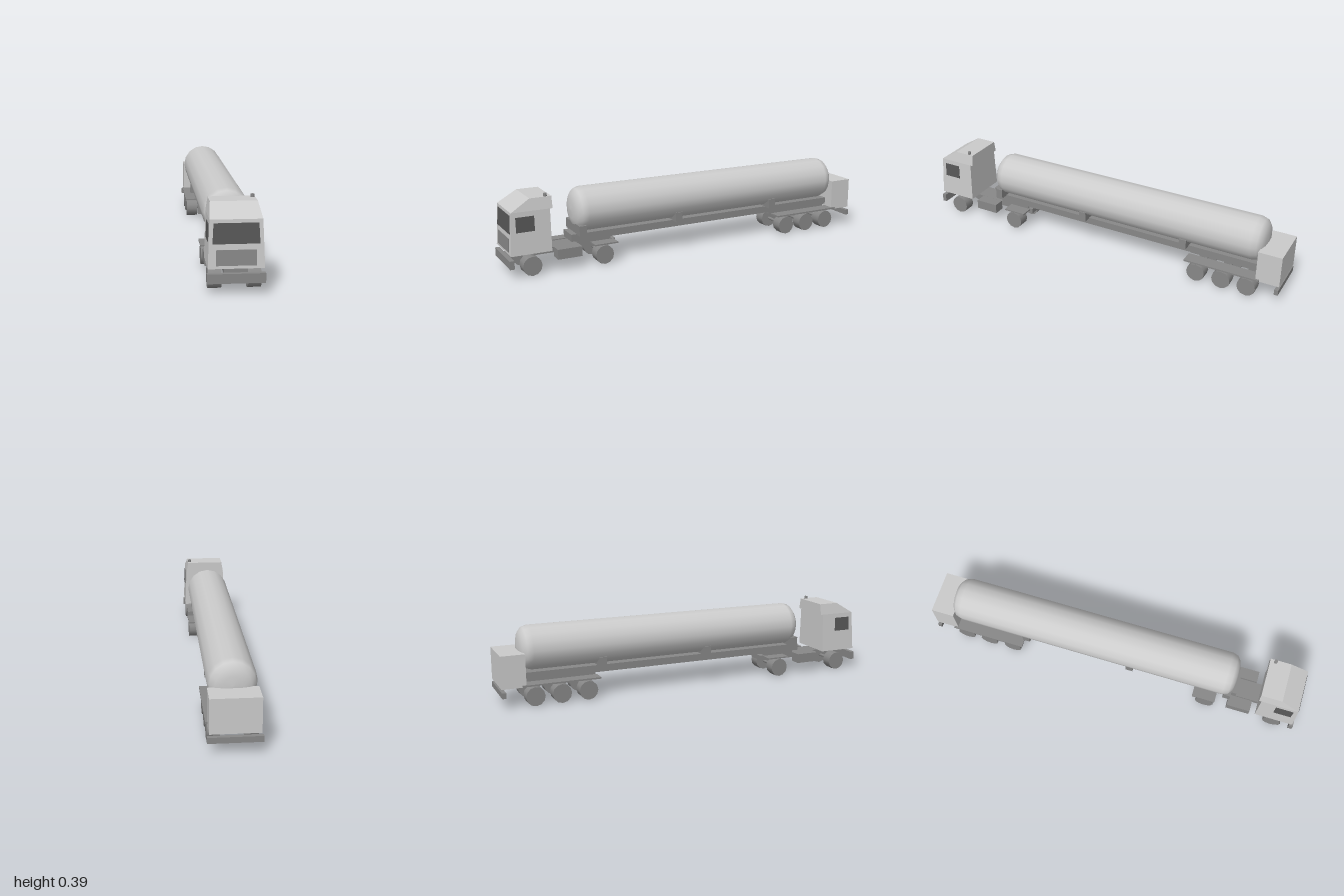
import * as THREE from 'three';

const paint = new THREE.MeshStandardMaterial({ color: 0xcccccc });
const metal = new THREE.MeshStandardMaterial({ color: 0x888888 });
const glass = new THREE.MeshStandardMaterial({ color: 0x585858 });

export function createModel() {
  const truck = new THREE.Group();
  truck.name = 'tankerTruck';

  const add = (name, geometry, material) => {
    const mesh = new THREE.Mesh(geometry, material);
    mesh.name = name;
    truck.add(mesh);
    return mesh;
  };
  // Box given by its limits on each axis
  const box = (name, [x0, x1], [y0, y1], [z0, z1], material = metal) => {
    const mesh = add(name, new THREE.BoxGeometry(x1 - x0, y1 - y0, z1 - z0), material);
    mesh.position.set((x0 + x1) / 2, (y0 + y1) / 2, (z0 + z1) / 2);
    return mesh;
  };
  // The same box on both sides
  const pair = (name, [x0, x1], y, z, material) => {
    box(name + 'Left', [x0, x1], y, z, material);
    box(name + 'Right', [-x1, -x0], y, z, material);
  };
  // Side profile of (z, y) points whose half width runs from w0 at y0 to w1 at y1
  const taperedBody = (name, points, y0, w0, y1, w1) => {
    const shape = new THREE.Shape(points.map(([z, y]) => new THREE.Vector2(z, y)));
    const g = new THREE.ExtrudeGeometry(shape, { depth: 1, bevelEnabled: false });
    g.translate(0, 0, -0.5).rotateY(-Math.PI / 2);
    const p = g.attributes.position;
    for (let i = 0; i < p.count; i++) {
      const w = THREE.MathUtils.mapLinear(p.getY(i), y0, y1, w0, w1);
      p.setX(i, Math.sign(p.getX(i)) * w);
    }
    g.computeVertexNormals();
    add(name, g, paint);
  };

  // Cab: upright body and narrowing roof that overhangs a little at the back
  taperedBody('cabBody', [[0.79, 0.112], [0.992, 0.112], [0.98, 0.32], [0.79, 0.32]],
    0.112, 0.12, 0.32, 0.112);
  taperedBody('cabRoof', [[0.777, 0.32], [0.98, 0.32], [0.885, 0.378], [0.777, 0.378]],
    0.32, 0.112, 0.378, 0.102);

  // Windscreen and grille lie on the leaning cab front
  const frontPanel = (name, y0, w0, y1, w1, material) => {
    const shape = new THREE.Shape([
      new THREE.Vector2(-w0, y0), new THREE.Vector2(w0, y0),
      new THREE.Vector2(w1, y1), new THREE.Vector2(-w1, y1),
    ]);
    const g = new THREE.ExtrudeGeometry(shape, { depth: 0.006, bevelEnabled: false });
    g.translate(0, -0.112, -0.003).rotateX(-Math.atan2(0.012, 0.208)).translate(0, 0.112, 0.992);
    add(name, g, material);
  };
  frontPanel('windscreen', 0.217, 0.1, 0.305, 0.095, glass);
  frontPanel('grille', 0.125, 0.085, 0.192, 0.085, metal);

  // Side windows follow the lean of the doors
  for (const s of [1, -1]) {
    const win = box(s > 0 ? 'sideWindowLeft' : 'sideWindowRight',
      [-0.003, 0.003], [0.223, 0.296], [0.87, 0.96], glass);
    win.position.x = s * 0.1145;
    win.rotation.z = s * Math.atan2(0.008, 0.208);
  }

  // Exhaust stack
  const stack = add('exhaustStack', new THREE.CylinderGeometry(0.009, 0.009, 0.06, 12), metal);
  stack.position.set(0.091, 0.362, 0.805);

  // Tractor chassis
  box('frontBumper', [-0.124, 0.124], [0.05, 0.092], [0.978, 1]);
  box('tractorFrame', [-0.05, 0.05], [0.08, 0.107], [0.435, 0.975]);
  box('cabMount', [-0.05, 0.05], [0.105, 0.114], [0.8, 0.97]);
  pair('fuelTank', [0.055, 0.114], [0.06, 0.11], [0.635, 0.76]);
  pair('tractorFender', [0.055, 0.119], [0.1, 0.107], [0.447, 0.57]);
  box('couplingPlate', [-0.05, 0.05], [0.107, 0.121], [0.46, 0.635]);

  // Trailer chassis
  box('trailerFrame', [-0.055, 0.055], [0.12, 0.156], [-0.885, 0.668]);
  pair('trailerFender', [0.055, 0.123], [0.103, 0.111], [-0.9, -0.508]);
  box('axleCarrier', [-0.03, 0.03], [0.1, 0.121], [-0.9, -0.508]);
  for (const z of [0.62, 0.09, -0.485]) {
    box('tankSaddle', [-0.095, 0.095], [0.153, 0.204], [z - 0.019, z + 0.019]);
  }
  box('rearCabinet', [-0.113, 0.113], [0.1, 0.263], [-1, -0.88], paint);
  box('rearBumper', [-0.122, 0.122], [0.057, 0.085], [-1, -0.98]);

  // Tank with domed ends
  const profile = [
    [0, -0.895], [0.045, -0.893], [0.08, -0.884], [0.103, -0.865], [0.112, -0.835],
    [0.112, 0.59], [0.103, 0.62], [0.08, 0.638], [0.045, 0.647], [0, 0.649],
  ].map(([r, z]) => new THREE.Vector2(r, z));
  const tank = add('tank', new THREE.LatheGeometry(profile, 16).rotateX(Math.PI / 2), paint);
  tank.position.y = 0.27;

  // Axles and wheels
  const crossCylinder = (name, r, x0, x1, z, sides) => {
    const g = new THREE.CylinderGeometry(r, r, x1 - x0, sides).rotateZ(Math.PI / 2);
    add(name, g, metal).position.set((x0 + x1) / 2, 0.048, z);
  };
  for (const z of [0.888, 0.517, -0.57, -0.705, -0.837]) {
    crossCylinder('axle', 0.008, -0.06, 0.06, z, 8);
    crossCylinder('wheelLeft', 0.048, 0.056, 0.115, z, 12);
    crossCylinder('wheelRight', 0.048, -0.115, -0.056, z, 12);
  }
  return truck;
}
